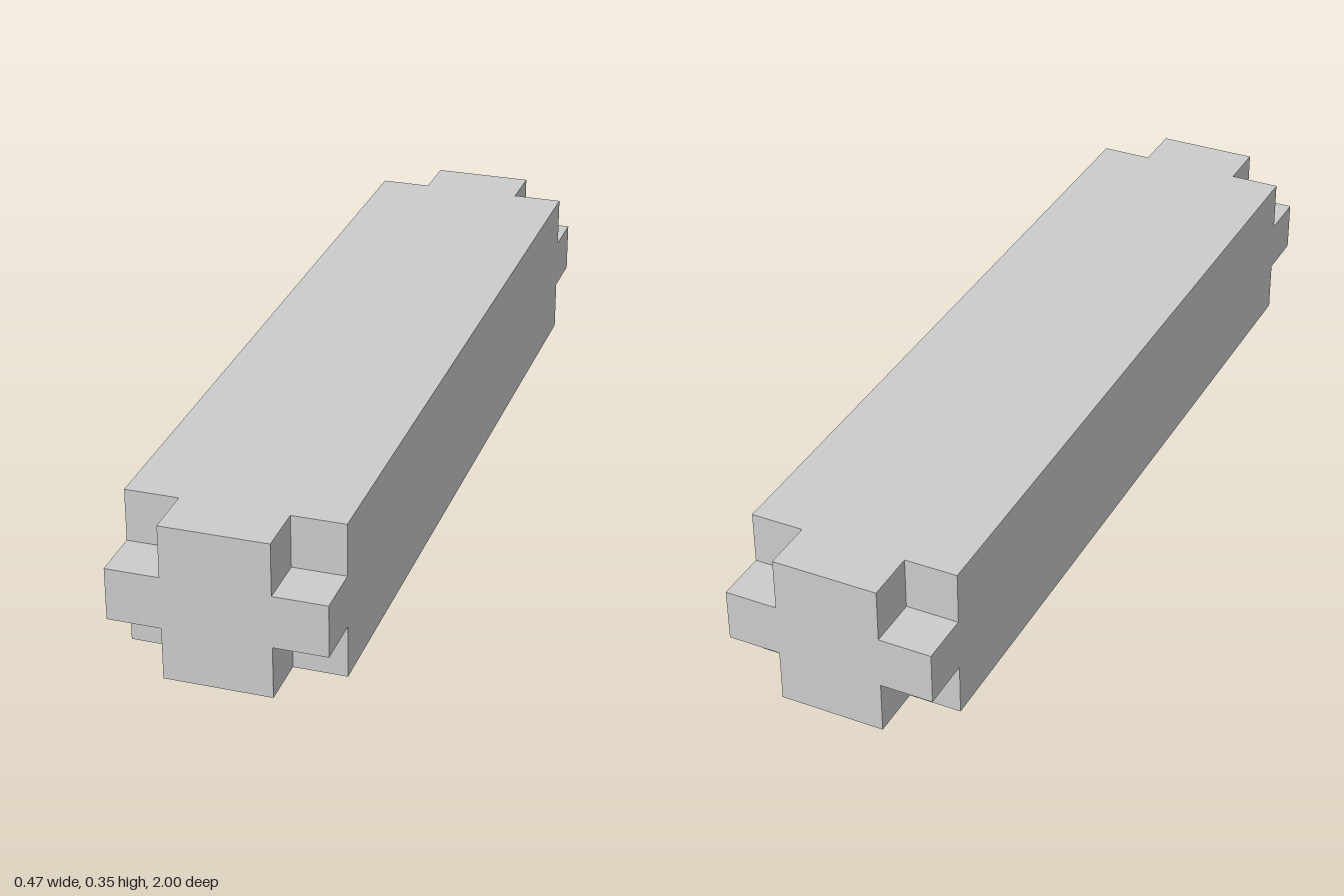
import * as THREE from 'three';

// Beam laid out on a 4 x 3 x 17 unit module, with a one-unit cube notched from every corner
const U = 2 / 17;
const edges = [
  [-2, -1, 1, 2],
  [0, 1, 2, 3],
  [-8.5, -7.5, 7.5, 8.5],
].map((list) => list.map((v) => v * U));

// A cell is solid when it lies inside the 3 x 3 x 3 grid and is not one of its eight corners
const isSolid = (cell) => cell.every((c) => c >= 0 && c <= 2) && cell.some((c) => c === 1);

function notchedBeamGeometry() {
  const positions = [];

  // Adds the outward face of a cell on the given axis and side
  function addFace(cell, axis, side) {
    const u = (axis + 1) % 3, v = (axis + 2) % 3;
    const corner = (a, b) => {
      const p = [0, 0, 0];
      p[axis] = edges[axis][cell[axis] + side];
      p[u] = edges[u][cell[u] + a];
      p[v] = edges[v][cell[v] + b];
      return p;
    };
    const quad = [corner(0, 0), corner(1, 0), corner(1, 1), corner(0, 1)];
    if (side === 0) quad.reverse();
    for (const i of [0, 1, 2, 0, 2, 3]) positions.push(...quad[i]);
  }

  // Only faces between a solid cell and empty space are built
  for (let i = 0; i < 3; i++)
    for (let j = 0; j < 3; j++)
      for (let k = 0; k < 3; k++) {
        const cell = [i, j, k];
        if (!isSolid(cell)) continue;
        for (let axis = 0; axis < 3; axis++)
          for (const side of [0, 1]) {
            const next = [...cell];
            next[axis] += side ? 1 : -1;
            if (!isSolid(next)) addFace(cell, axis, side);
          }
      }

  const geometry = new THREE.BufferGeometry();
  geometry.setAttribute('position', new THREE.Float32BufferAttribute(positions, 3));
  geometry.computeVertexNormals();
  return geometry;
}

export function createModel() {
  const group = new THREE.Group();
  group.name = 'notchedBeam';
  const material = new THREE.MeshStandardMaterial({ color: 0xcccccc, flatShading: true });
  const beam = new THREE.Mesh(notchedBeamGeometry(), material);
  beam.name = 'beam';
  group.add(beam);
  return group;
}
